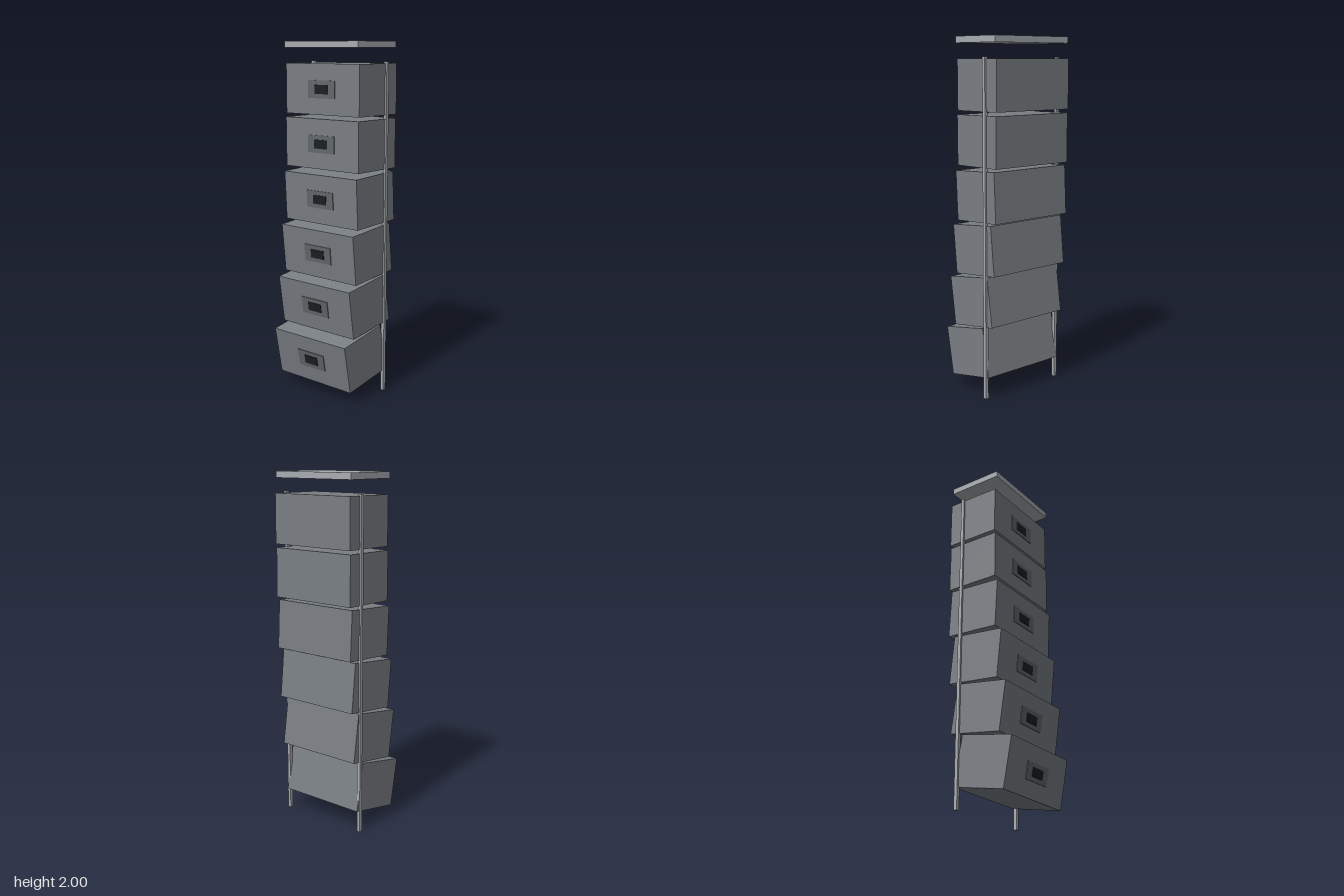
import * as THREE from 'three';

const material = (color) => new THREE.MeshStandardMaterial({ color });

function addBox(parent, name, size, position, mat) {
  const mesh = new THREE.Mesh(new THREE.BoxGeometry(...size), mat);
  mesh.name = name;
  mesh.position.set(...position);
  parent.add(mesh);
  return mesh;
}

export function createModel() {
  const model = new THREE.Group();
  model.name = 'tiltingDrawerTower';

  const light = material(0xa8acb0);
  const body = material(0x7a7f84);
  const plate = material(0x63686c);
  const dark = material(0x1c1f22);

  const W = 0.54, H = 0.28, D = 0.32;

  // Bins, bottom to top: centre height, centre depth, forward tilt in degrees
  const bins = [
    [0.233, 0.037, 10.5],
    [0.535, 0.004, 8.2],
    [0.834, -0.02, 5.7],
    [1.135, -0.041, 2.9],
    [1.439, -0.051, 0.4],
    [1.74, -0.055, 0.2],
  ];
  bins.forEach(([y, z, tilt], i) => {
    const bin = new THREE.Group();
    bin.name = `bin${i + 1}`;
    bin.position.set(0, y, z);
    bin.rotation.x = THREE.MathUtils.degToRad(tilt);
    addBox(bin, 'binBody', [W, H, D], [0, 0, 0], body);
    // Label plate and dark grip on the front face
    addBox(bin, 'frontPlate', [0.196, 0.098, 0.01], [0, 0, D / 2 - 0.001], plate);
    addBox(bin, 'grip', [0.096, 0.05, 0.012], [0, 0, D / 2 + 0.001], dark);
    model.add(bin);
  });

  // Side posts
  for (const side of [-1, 1]) {
    addBox(model, side > 0 ? 'leftPost' : 'rightPost',
      [0.02, 1.89, 0.02], [side * 0.27, 0.945, -0.124], light);
  }

  // Floating lid
  addBox(model, 'lid', [W, 0.036, 0.325], [0, 1.982, -0.044], light);

  return model;
}
